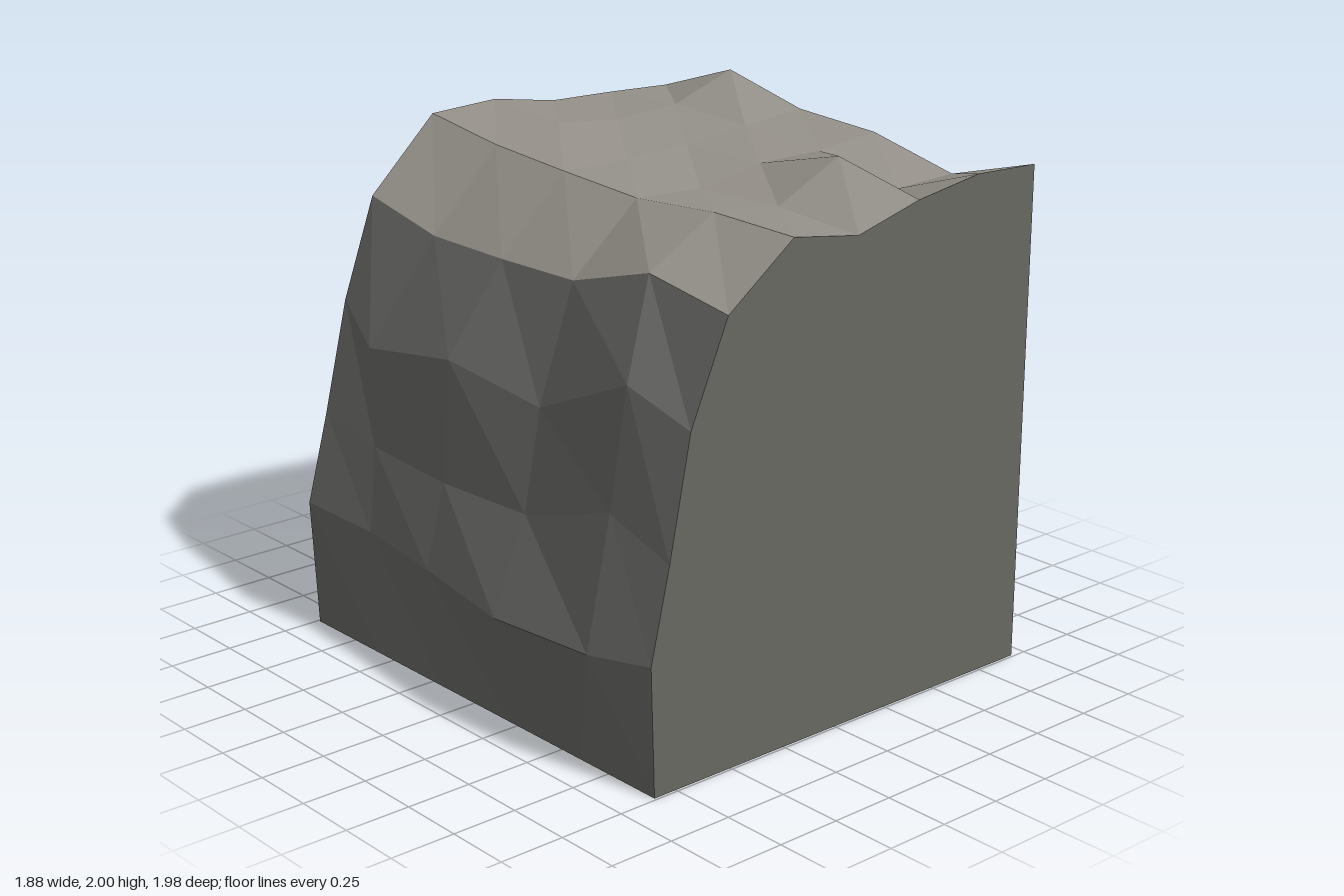
import * as THREE from 'three';

const material = (name, color) =>
  new THREE.MeshStandardMaterial({ name, color, flatShading: true, side: THREE.DoubleSide });

const zs = [-0.99, -0.6, -0.2, 0.2, 0.6, 0.99];
const xs = [0.94, 0.65, 0.35, 0.06, -0.24, -0.53];

// Ground heights: one row per x, from the inner side to the cliff edge; columns run back to front
const heights = [
  [1.88, 2.0, 1.905, 1.88, 1.79, 1.895],
  [1.89, 1.9, 1.88, 1.85, 1.78, 1.905],
  [1.895, 1.88, 1.85, 1.85, 1.945, 1.86],
  [1.94, 1.91, 1.84, 1.8, 1.81, 1.785],
  [1.925, 1.87, 1.84, 1.815, 1.84, 1.83],
  [1.65, 1.57, 1.565, 1.57, 1.68, 1.62],
];

// Rock face rows below the edge: [x, y, z]
const cliffRows = [
  [[-0.67, 1.27, -0.99], [-0.74, 1.15, -0.74], [-0.74, 1.22, -0.25], [-0.7, 1.15, 0.22], [-0.73, 1.36, 0.72], [-0.69, 1.26, 0.99]],
  [[-0.775, 0.845, -0.99], [-0.78, 0.79, -0.67], [-0.79, 0.77, -0.23], [-0.78, 0.78, 0.23], [-0.79, 0.92, 0.7], [-0.78, 0.82, 0.99]],
  [[-0.87, 0.5, -0.99], [-0.845, 0.48, -0.62], [-0.88, 0.46, -0.22], [-0.94, 0.44, 0.25], [-0.91, 0.45, 0.72], [-0.86, 0.48, 0.99]],
];

// Faceted surface through a grid of points
function sheet(rows) {
  const pos = [];
  for (let i = 0; i < rows.length - 1; i++) {
    for (let j = 0; j < rows[i].length - 1; j++) {
      const a = rows[i][j], b = rows[i + 1][j], c = rows[i + 1][j + 1], d = rows[i][j + 1];
      pos.push(...a, ...b, ...c, ...a, ...c, ...d);
    }
  }
  const geo = new THREE.BufferGeometry();
  geo.setAttribute('position', new THREE.Float32BufferAttribute(pos, 3));
  geo.computeVertexNormals();
  return geo;
}

// Flat wall cut to an outline
const wall = (points) =>
  new THREE.ShapeGeometry(new THREE.Shape(points.map(([x, y]) => new THREE.Vector2(x, y))));

export function createModel() {
  const group = new THREE.Group();
  group.name = 'cliffBlock';
  const ground = material('groundStone', 0x949089);
  const rock = material('cliffRock', 0x656563);
  const side = material('cutSide', 0x686862);
  const add = (name, geo, mat) => {
    const mesh = new THREE.Mesh(geo, mat);
    mesh.name = name;
    group.add(mesh);
    return mesh;
  };

  // Uneven plateau and the rock face falling from its edge
  const topRows = heights.map((row, i) => row.map((y, j) => [xs[i], y, zs[j]]));
  const baseRow = zs.map((z) => [-0.845, 0, z]);
  const faceRows = [topRows[5], ...cliffRows, baseRow];
  add('plateau', sheet(topRows), ground);
  add('rockFace', sheet(faceRows), rock);

  // Front and back walls follow the end profiles; the underside stays open
  const profile = (j) => [
    [0.94, 0],
    ...[...topRows, ...cliffRows, baseRow].map((row) => [row[j][0], row[j][1]]),
  ];
  add('frontWall', wall(profile(5)), side).position.z = 0.99;
  const back = wall(profile(0).map(([x, y]) => [-x, y]));
  back.rotateY(Math.PI);
  add('backWall', back, side).position.z = -0.99;

  // Straight side wall
  const inner = wall([[0.99, 0], ...zs.map((z, j) => [-z, heights[0][j]]), [-0.99, 0]]);
  inner.rotateY(Math.PI / 2);
  add('sideWall', inner, side).position.x = 0.94;

  return group;
}
